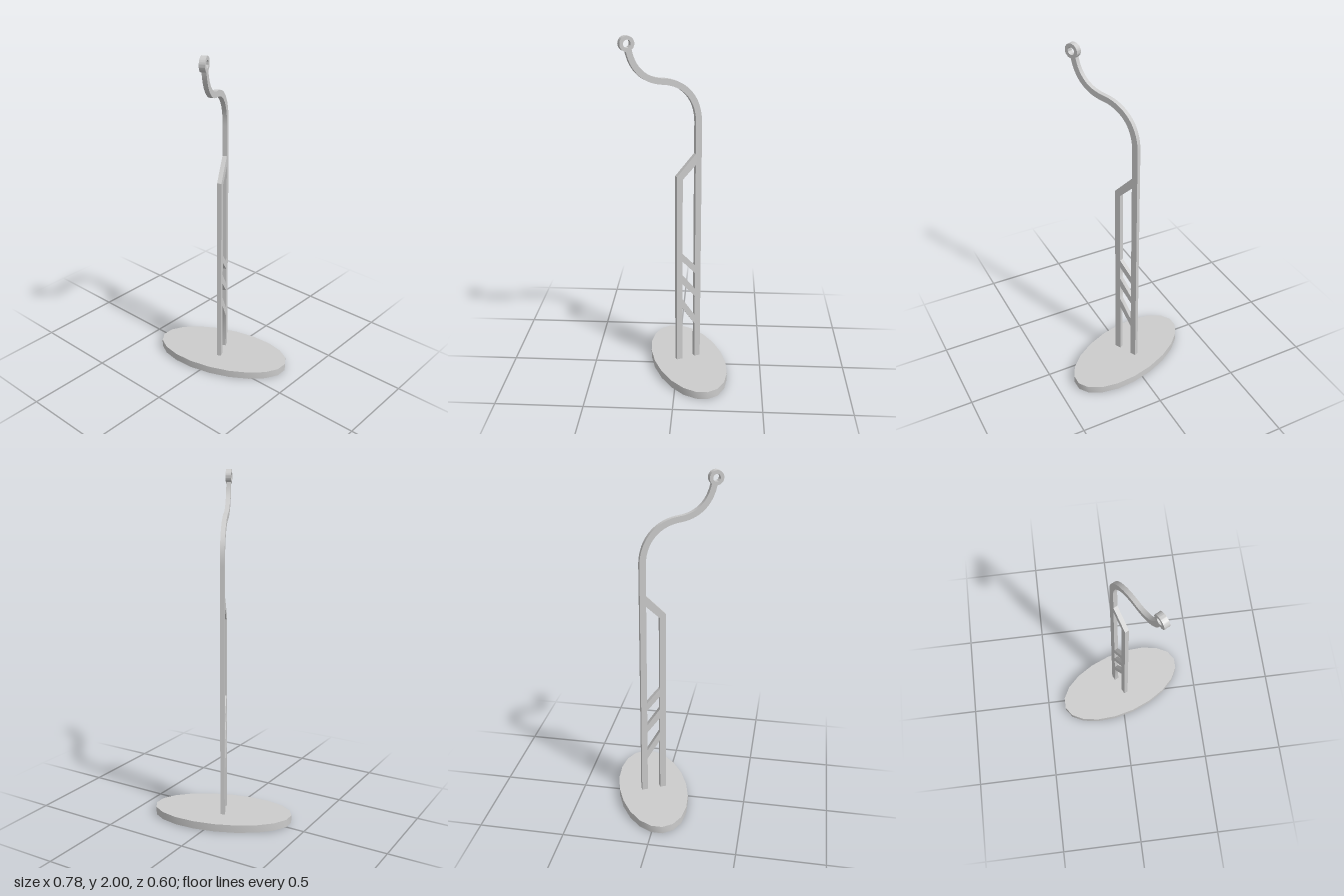
import * as THREE from 'three';
import { toCreasedNormals } from 'three/addons/utils/BufferGeometryUtils.js';

const material = new THREE.MeshStandardMaterial({ color: 0xcccccc });
const vec = (x, y) => new THREE.Vector2(x, y);
const vecs = (list) => list.map(([x, y]) => vec(x, y));

// Extrudes a shape, centred on its own plane, keeping real corners sharp
function plate(name, shape, depth, curveSegments = 12) {
  const geo = new THREE.ExtrudeGeometry(shape, { depth, bevelEnabled: false, curveSegments });
  geo.translate(0, 0, -depth / 2);
  const mesh = new THREE.Mesh(toCreasedNormals(geo, 0.68), material);
  mesh.name = name;
  return mesh;
}

export function createModel() {
  const model = new THREE.Group();
  model.name = 'hookStand';

  // Slanted oval base with 20 sides
  const rim = [];
  for (let i = 0; i < 20; i++) {
    const a = THREE.MathUtils.degToRad(18 * i + 9);
    rim.push([0.393 * Math.cos(a), -0.236 * Math.cos(a - THREE.MathUtils.degToRad(114))]);
  }
  const base = plate('base', new THREE.Shape(vecs(rim)), 0.045);
  base.rotation.x = -Math.PI / 2;
  base.position.set(0, 0.0235, -0.0645);
  model.add(base);

  // The upright parts all lie in one vertical plane, turned about y;
  // the post feet reach just through the base
  const stand = new THREE.Group();
  stand.name = 'stand';
  stand.position.set(-0.037, 0, -0.1285);
  stand.rotation.y = -Math.atan2(0.898, 0.44);
  model.add(stand);

  // S-curved arm: offset the centre line to both sides
  const centre = new THREE.CurvePath();
  centre.add(new THREE.CubicBezierCurve(
    vec(0.018, 1.5), vec(0.018, 1.65), vec(0.11, 1.735), vec(0.23, 1.748)));
  centre.add(new THREE.CubicBezierCurve(
    vec(0.23, 1.748), vec(0.33, 1.758), vec(0.4, 1.82), vec(0.42, 1.927)));
  const back = [], front = [];
  const steps = 36;
  for (let i = 0; i <= steps; i++) {
    const p = centre.getPoint(i / steps);
    const d = centre.getTangent(i / steps);
    const half = 0.018 - 0.0015 * i / steps;
    back.push([p.x - d.y * half, p.y + d.x * half]);
    front.unshift([p.x + d.y * half, p.y - d.x * half]);
  }

  // Two posts, shoulder and arm in one outline
  const outline = new THREE.Shape(vecs([
    [0, 0], ...back, ...front,
    [0.036, 1.326], [0.151, 1.205], [0.151, 0], [0.115, 0],
    [0.115, 0.385], [0.036, 0.268], [0.036, 0],
  ]));

  // Openings between the slanted struts: back low, back high, front low, front high
  for (const [b0, b1, f0, f1] of [
    [0.325, 0.45, 0.445, 0.54],
    [0.5, 0.6, 0.6, 0.685],
    [0.65, 1.262, 0.735, 1.185],
  ]) {
    outline.holes.push(new THREE.Path(vecs([[0.036, b0], [0.115, f0], [0.115, f1], [0.036, b1]])));
  }
  stand.add(plate('postsAndArm', outline, 0.0255));

  // Ring at the tip
  const ringShape = new THREE.Shape().absarc(0, 0, 0.041, 0, Math.PI * 2);
  ringShape.holes.push(new THREE.Path().absarc(0, 0, 0.021, 0, Math.PI * 2, true));
  const ring = plate('ring', ringShape, 0.032, 24);
  ring.position.set(0.43, 1.959, 0);
  stand.add(ring);

  return model;
}
